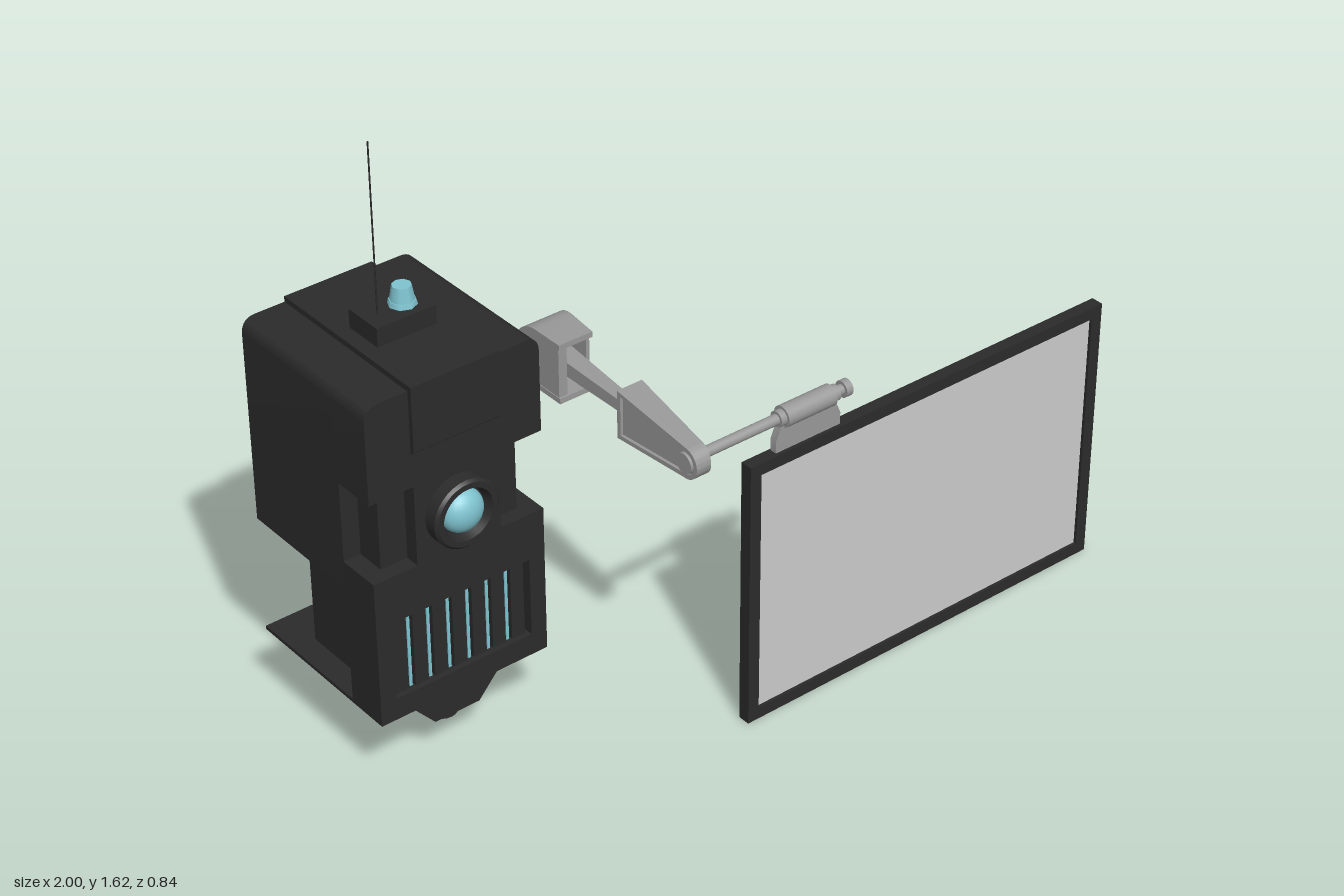
import * as THREE from 'three';
import { toCreasedNormals } from 'three/addons/utils/BufferGeometryUtils.js';

const dark = new THREE.MeshStandardMaterial({ color: 0x2b2b2b });
const metal = new THREE.MeshStandardMaterial({ color: 0x999999 });
const blue = new THREE.MeshStandardMaterial({ color: 0x7fc4d0 });
const pale = new THREE.MeshStandardMaterial({ color: 0xcccccc });
const CX = -0.757, HW = 0.243; // body centre and half width

export function createModel() {
  const root = new THREE.Group();
  root.name = 'cameraRobotWithPanel';

  const add = (name, geo, mat, x = 0, y = 0, z = 0) => {
    const m = new THREE.Mesh(geo, mat);
    m.name = name;
    m.position.set(x, y, z);
    root.add(m);
    return m;
  };
  // Box given by its limits
  const box = (name, mat, x0, x1, y0, y1, z0, z1) =>
    add(name, new THREE.BoxGeometry(x1 - x0, y1 - y0, z1 - z0), mat,
      (x0 + x1) / 2, (y0 + y1) / 2, (z0 + z1) / 2);
  // Cylinder along x
  const rodX = (name, mat, x0, x1, y, z, r) =>
    add(name, new THREE.CylinderGeometry(r, r, x1 - x0, 24).rotateZ(Math.PI / 2), mat, (x0 + x1) / 2, y, z);
  const extrude = (shape, depth) => toCreasedNormals(new THREE.ExtrudeGeometry(shape,
    { depth, bevelEnabled: false, curveSegments: 12 }), 0.6);
  const rectHole = (x0, x1, y0, y1) => new THREE.Path([[x0, y0], [x0, y1], [x1, y1], [x1, y0]]
    .map(p => new THREE.Vector2(...p)));
  const poly = pts => new THREE.Shape(pts.map(p => new THREE.Vector2(...p)));

  // ---- Body: rounded top edges, corner notches and grille opening in the front slab
  const bodyShape = (y0, notched) => {
    const s = new THREE.Shape(), top = 1.11, r = 0.04;
    s.moveTo(-HW, y0);
    s.lineTo(HW, y0);
    if (notched) [[HW, 0.63], [0.12, 0.63], [0.12, 0.85], [HW, 0.85]].forEach(p => s.lineTo(...p));
    s.lineTo(HW, top - r);
    s.quadraticCurveTo(HW, top, HW - r, top);
    s.lineTo(-HW + r, top);
    s.quadraticCurveTo(-HW, top, -HW, top - r);
    if (notched) [[-HW, 0.85], [-0.12, 0.85], [-0.12, 0.63], [-HW, 0.63]].forEach(p => s.lineTo(...p));
    return s;
  };
  add('upperBody', extrude(bodyShape(0.55, false), 0.37), dark, CX, 0, -0.42);
  const front = bodyShape(0.22, true);
  front.holes.push(rectHole(-0.198, 0.198, 0.28, 0.5));
  add('frontBody', extrude(front, 0.12), dark, CX, 0, -0.05);
  for (const s of [-1, 1])
    box('notchStep', dark, CX + s * 0.157 - 0.038, CX + s * 0.157 + 0.038, 0.63, 0.85, -0.05, 0.03);
  box('lowerCore', dark, CX - 0.18, CX + 0.18, 0.23, 0.55, -0.3, -0.05);

  // Raised spine over the top and brow
  box('topPlate', dark, CX - 0.123, CX + 0.123, 1.1, 1.125, -0.42, 0.083);
  add('browPlate', extrude(poly([[0.06, 0.93], [0.083, 0.95], [0.083, 1.11], [0.06, 1.11]]), 0.246)
    .rotateY(-Math.PI / 2), dark, CX + 0.123);

  // ---- Grille
  box('grilleBack', dark, CX - 0.198, CX + 0.198, 0.28, 0.5, -0.05, 0.02);
  for (let i = 0; i < 7; i++) {
    const x = CX + (i - 3) * 0.0566;
    box('grilleSlat', dark, x - 0.019, x + 0.019, 0.28, 0.5, 0.02, 0.055);
    if (i < 6) box('grilleLight', blue, x + 0.0243, x + 0.0323, 0.28, 0.5, 0.02, 0.05);
  }

  // ---- Eye
  const ring = [[0.092, 0], [0.092, 0.045], [0.085, 0.052], [0.07, 0.052], [0.06, 0.025], [0, 0.025]]
    .map(p => new THREE.Vector2(...p));
  add('eyeHousing', toCreasedNormals(new THREE.LatheGeometry(ring, 32).rotateX(Math.PI / 2), 0.5),
    dark, CX, 0.742, 0.06);
  add('eyeLens', new THREE.SphereGeometry(0.057, 24, 16).scale(1, 1, 0.75), blue, CX, 0.742, 0.083);

  // ---- Underside: tray, two tapered steps and three feet
  const frustum = (name, y0, y1, b, t) => {
    const g = new THREE.BoxGeometry(1, 1, 1).toNonIndexed(), p = g.attributes.position;
    for (let i = 0; i < p.count; i++) {
      const up = p.getY(i) > 0, [hx, z0, z1] = up ? t : b;
      p.setXYZ(i, Math.sign(p.getX(i)) * hx, up ? y1 : y0, p.getZ(i) > 0 ? z1 : z0);
    }
    g.computeVertexNormals();
    add(name, g, dark, CX);
  };
  const rim = [HW, -0.42, 0.07], mid = [0.12, -0.35, 0.03];
  box('tray', dark, CX - HW, CX + HW, 0.22, 0.23, -0.42, 0.07);
  frustum('trayTaper', 0.182, 0.22, mid, rim);
  frustum('footBlock', 0.12, 0.182, [0.065, -0.35, 0.03], mid);
  for (const z of [-0.035, -0.157, -0.28])
    add('foot', new THREE.CylinderGeometry(0.039, 0.039, 0.04, 20), dark, CX, 0.107, z);

  // ---- Beacon and antenna
  box('beaconBase', dark, -0.84, -0.675, 1.12, 1.175, -0.212, -0.1);
  add('beaconSkirt', new THREE.CylinderGeometry(0.033, 0.036, 0.012, 8), blue, -0.73, 1.181, -0.155);
  add('beacon', new THREE.CylinderGeometry(0.024, 0.031, 0.04, 8), blue, -0.73, 1.205, -0.155);
  add('antenna', new THREE.CylinderGeometry(0.002, 0.002, 0.45, 6), dark, -0.8, 1.395, -0.155);

  // ---- Shoulder
  const AY = 0.847;
  rodX('shoulderTube', metal, -0.52, -0.33, AY, -0.225, 0.038);
  rodX('shoulderCollar', metal, -0.516, -0.492, AY, -0.225, 0.052);
  rodX('shoulderCollar', metal, -0.36, -0.335, AY, -0.225, 0.05);

  // Side-view profile (z, y) extruded from x0 to x1; the outer face slopes along z
  const sidePart = (name, shape, x0, x1, slope = 0, zRef = 0) => {
    const g = new THREE.ExtrudeGeometry(shape, { depth: x1 - x0, bevelEnabled: false, curveSegments: 12 });
    g.rotateY(-Math.PI / 2).translate(x1, 0, 0);
    const p = g.attributes.position, mx = (x0 + x1) / 2;
    for (let i = 0; i < p.count; i++)
      if (p.getX(i) > mx) p.setX(i, p.getX(i) + slope * (p.getZ(i) - zRef));
    g.computeVertexNormals();
    add(name, toCreasedNormals(g, 0.6), metal);
  };

  // ---- Elbow: rounded shell with two cheeks, open to the front for the link
  const dPath = (P, i, zf = -0.093 - i) => {
    const r = 0.083 - i, p = new P();
    p.moveTo(zf, AY - r);
    p.lineTo(zf, AY + r);
    p.lineTo(-0.187, AY + r);
    p.absarc(-0.187, AY, r, Math.PI / 2, Math.PI * 1.5, false);
    p.closePath();
    return p;
  };
  const shell = new THREE.Shape();
  shell.moveTo(-0.093, AY + 0.083);
  shell.lineTo(-0.187, AY + 0.083);
  shell.absarc(-0.187, AY, 0.083, Math.PI / 2, Math.PI * 1.5, false);
  shell.lineTo(-0.093, AY - 0.083);
  shell.lineTo(-0.093, AY - 0.068);
  shell.lineTo(-0.187, AY - 0.068);
  shell.absarc(-0.187, AY, 0.068, Math.PI * 1.5, Math.PI / 2, true);
  shell.lineTo(-0.093, AY + 0.068);
  sidePart('elbowShell', shell, -0.335, -0.215, -0.11, -0.27);
  sidePart('elbowInnerCheek', dPath(THREE.Shape, 0.006), -0.333, -0.308);
  sidePart('elbowOuterCheek', dPath(THREE.Shape, 0.006), -0.25, -0.221, -0.11, -0.27);

  // ---- Link between elbow and forearm
  sidePart('armLink', poly([[-0.2, 0.827], [0.15, 0.832], [0.15, 0.862], [-0.2, 0.87]]), -0.308, -0.258, -0.08, -0.1);

  // ---- Forearm: tapered frame with a sunken panel, rounded wrist
  const wz = 0.38, wy = 0.845;
  const forearm = (P, i) => {
    const p = new P(), r = 0.042 - i;
    p.moveTo(0.128 + i, 0.783 + i);
    p.lineTo(wz - 0.003, wy - r);
    p.absarc(wz, wy, r, -Math.PI / 2, Math.PI / 2, false);
    p.lineTo(0.128 + i, 0.915 - i);
    p.closePath();
    return p;
  };
  const frame = forearm(THREE.Shape, 0);
  frame.holes.push(forearm(THREE.Path, 0.012));
  sidePart('forearmFrame', frame, -0.335, -0.26, -0.11, 0.125);
  sidePart('forearmPanel', forearm(THREE.Shape, 0.011), -0.327, -0.268, -0.11, 0.125);
  rodX('wristPin', metal, -0.34, -0.288, wy, wz, 0.027);

  // ---- Hanger rod, sleeve and bracket
  rodX('hangerRod', metal, -0.33, 0.16, wy, 0.375, 0.014);
  rodX('rodEnd', metal, 0.145, 0.165, wy, 0.375, 0.022);
  rodX('sleeve', metal, -0.04, 0.11, wy, 0.375, 0.028);
  for (const x of [-0.057, 0.107]) rodX('sleeveCollar', metal, x, x + 0.02, wy, 0.375, 0.021);
  add('bracket', extrude(poly([[-0.065, 0.75], [0.135, 0.75], [0.135, 0.79], [0.11, 0.85], [-0.04, 0.85], [-0.065, 0.79]]), 0.02),
    metal, 0, 0, 0.365);

  // ---- Display panel
  const border = poly([[-0.15, 0], [1, 0], [1, 0.757], [-0.15, 0.757]]);
  border.holes.push(rectHole(-0.117, 0.967, 0.033, 0.724));
  add('panelFrame', extrude(border, 0.034), dark, 0, 0, 0.361);
  box('panelBack', dark, -0.14, 0.99, 0.01, 0.747, 0.362, 0.378);
  box('panelScreen', pale, -0.117, 0.967, 0.033, 0.724, 0.376, 0.387);
  return root;
}
